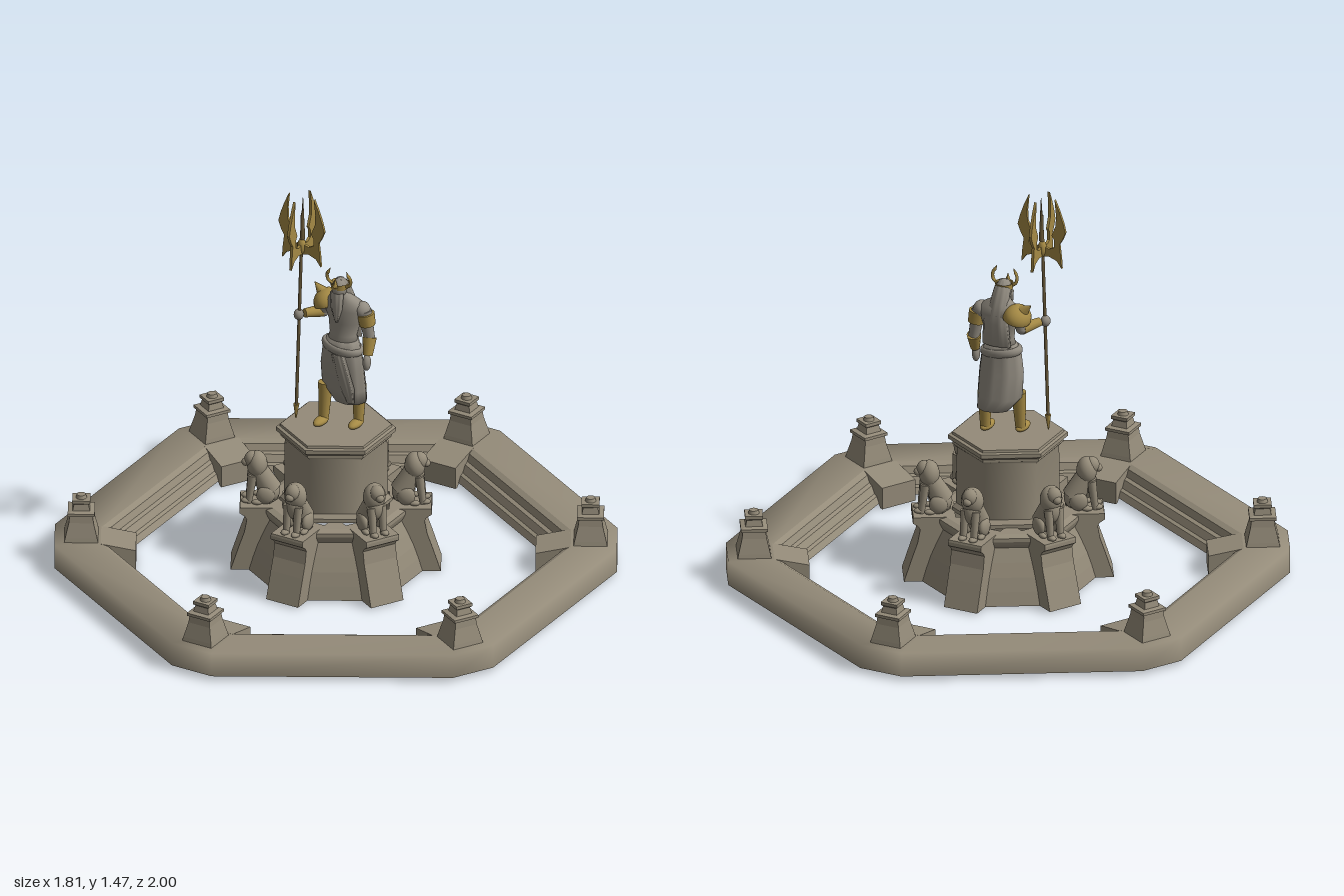
import * as THREE from 'three';

const material = (name, color) => {
  const m = new THREE.MeshStandardMaterial({ color, side: THREE.DoubleSide });
  m.name = name;
  return m;
};
const V = (p) => new THREE.Vector3(...p);

// Skin over a list of closed loops of [x, y, z]
function loft(loops, flat = false, caps = false) {
  const n = loops[0].length, index = [];
  const all = loops.slice();
  if (caps) {
    const mid = (l) => l.reduce((s, p) => s.map((v, i) => v + p[i] / n), [0, 0, 0]);
    all.unshift(Array(n).fill(mid(loops[0])));
    all.push(Array(n).fill(mid(loops[loops.length - 1])));
  }
  for (let j = 0; j + 1 < all.length; j++) for (let i = 0; i < n; i++) {
    const a = j * n + i, b = j * n + (i + 1) % n;
    index.push(a, a + n, b, b, a + n, b + n);
  }
  let g = new THREE.BufferGeometry();
  g.setAttribute('position', new THREE.Float32BufferAttribute(all.flat(2), 3));
  g.setIndex(index);
  if (flat) g = g.toNonIndexed();
  g.computeVertexNormals();
  return g;
}

// Loop repeated at the six corners; each point is [outward, sideways]
function cornerLoop(points, y) {
  const pts = [];
  for (let k = 0; k < 6; k++) {
    const a = Math.PI / 6 + k * Math.PI / 3, c = Math.cos(a), s = Math.sin(a);
    for (const [r, w] of points) pts.push([c * r - s * w, y, s * r + c * w]);
  }
  return pts;
}
// Chamfered hexagon: corner distance, half chamfer, height
const hexLoop = ([r, w, y]) => cornerLoop([[r, -w], [r, w]], y);

// Hexagonal wall with a buttress at each corner: height, wall apothem, buttress reach
function buttressLoop([y, apothem, reach]) {
  const w = 0.066, root = (apothem - w / 2) / Math.cos(Math.PI / 6);
  return cornerLoop([[root, -w], [reach, -w], [reach, w], [root, w]], y);
}

// Ellipse section with optional folds: height, centre x, centre z, radius x, radius z
const ellipseLoop = (fold) => ([y, cx, cz, rx, rz]) => Array.from({ length: 36 }, (_, i) => {
  const a = i * Math.PI / 18, f = 1 + fold * Math.cos(9 * a);
  return [cx + rx * f * Math.cos(a), y, cz + rz * f * Math.sin(a)];
});

const lathe = (profile, sides) => new THREE.LatheGeometry(profile.map((p) => new THREE.Vector2(...p)), sides);
function faceted(profile, sides) {
  const g = lathe(profile, sides).toNonIndexed();
  g.computeVertexNormals();
  return g;
}

// Side profile of [outward, y] given a width, pointing toward +z
function slab(profile, width) {
  const shape = new THREE.Shape(profile.map((p) => new THREE.Vector2(...p)));
  return new THREE.ExtrudeGeometry(shape, { depth: width, bevelEnabled: false })
    .translate(0, 0, -width / 2).rotateY(-Math.PI / 2);
}

const ball = (p, r) => new THREE.SphereGeometry(1, 18, 12).scale(...r).translate(...p);

function limb(a, b, ra, rb) {
  const d = V(b).sub(V(a)), g = new THREE.CylinderGeometry(rb, ra, d.length(), 14);
  g.applyQuaternion(new THREE.Quaternion().setFromUnitVectors(V([0, 1, 0]), d.clone().normalize()));
  const c = V(a).addScaledVector(d, 0.5);
  return g.translate(c.x, c.y, c.z);
}

export function createModel() {
  const stone = material('stone', 0x948b79);
  const grey = material('statue grey', 0x918b80);
  const gold = material('gold', 0xa58a45);
  const bronze = material('dark bronze', 0x6a5a3a);

  const root = new THREE.Group();
  root.name = 'fountain';
  const group = (name, parent = root) => {
    const g = new THREE.Group();
    g.name = name;
    parent.add(g);
    return g;
  };
  const add = (parent, name, geo, mat) => {
    const m = new THREE.Mesh(geo, mat);
    m.name = name;
    parent.add(m);
    return m;
  };

  // Basin: an open shell with a smooth outer rim and steps on the inside
  const basin = group('basin');
  add(basin, 'rim', loft([[1, 0.082, 0.02], [1, 0.082, 0.11], [0.83, 0.07, 0.11]].map(hexLoop)), stone);
  add(basin, 'innerSteps', loft([
    [0.83, 0.07, 0.11], [0.808, 0.068, 0.1], [0.797, 0.066, 0.075], [0.78, 0.066, 0.07],
    [0.765, 0.063, 0.045], [0.75, 0.063, 0.04], [0.737, 0.06, 0.018],
  ].map(hexLoop), true), stone);

  // Pedestal: hollow buttressed base and a column with a moulded cap
  const pedestal = group('pedestal');
  add(pedestal, 'buttressedBase', loft([
    [0.01, 0.3, 0.374], [0.06, 0.288, 0.358], [0.11, 0.274, 0.342], [0.16, 0.256, 0.325], [0.21, 0.236, 0.316],
    [0.222, 0.242, 0.322], [0.236, 0.247, 0.342], [0.25, 0.247, 0.342], [0.258, 0.225, 0.34], [0.258, 0.165, 0.19],
  ].map(buttressLoop), true), stone);
  add(pedestal, 'columnFoot', faceted([[0.2, 0.255], [0.2, 0.27], [0.185, 0.285]], 6), stone);
  add(pedestal, 'columnShaft', lathe([[0.185, 0.285], [0.182, 0.5], [0.198, 0.515]], 6), stone);
  add(pedestal, 'cap', faceted([
    [0.198, 0.515], [0.198, 0.525], [0.213, 0.535], [0.213, 0.55], [0.2, 0.553], [0.198, 0.562], [0, 0.562],
  ], 6), stone);

  // One set per corner: pillar, inner block and lion
  const pillarProfile = [[0.06, 0.11], [0.057, 0.125], [0.044, 0.18], [0.041, 0.205], [0.048, 0.207],
    [0.048, 0.218], [0.031, 0.222], [0.026, 0.245], [0.032, 0.25], [0.032, 0.262], [0, 0.262]];
  const pillarGeo = faceted(pillarProfile.map(([x, y]) => [x * Math.SQRT2, y]), 4)
    .rotateY(Math.PI / 4).translate(0, 0, 0.905);
  const knobGeo = new THREE.CylinderGeometry(0.016, 0.02, 0.014, 16).translate(0, 0.268, 0.905);
  const blockGeo = slab([[0.835, 0.111], [0.71, 0.085], [0.71, 0.003], [0.722, 0.003], [0.74, 0.02], [0.8, 0.085]], 0.14);
  const lionParts = [
    ['lionBody', limb([0, 0.045, -0.035], [0, 0.13, 0.012], 0.042, 0.034)],
    ['lionRump', ball([0, 0.04, -0.035], [0.04, 0.042, 0.035])],
    ['lionMane', ball([0, 0.143, 0.012], [0.042, 0.051, 0.037])],
    ['lionChest', ball([0, 0.1, 0.022], [0.032, 0.045, 0.026])],
    ['lionHead', ball([0, 0.163, 0.03], [0.028, 0.031, 0.028])],
    ['lionMuzzle', ball([0, 0.152, 0.053], [0.016, 0.015, 0.015])],
    ['lionTail', limb([0, 0.012, -0.06], [0.04, 0.01, -0.03], 0.007, 0.006)],
  ];
  for (const s of [-1, 1]) lionParts.push(
    ['lionFrontLeg', limb([s * 0.021, 0, 0.042], [s * 0.021, 0.11, 0.028], 0.012, 0.017)],
    ['lionFrontPaw', ball([s * 0.021, 0.009, 0.05], [0.014, 0.01, 0.019])],
    ['lionHaunch', ball([s * 0.033, 0.035, -0.018], [0.017, 0.035, 0.033])],
    ['lionHindPaw', ball([s * 0.036, 0.009, 0.012], [0.012, 0.01, 0.02])],
  );
  for (let k = 0; k < 6; k++) {
    const corner = group('corner');
    corner.rotation.y = k * Math.PI / 3;
    add(corner, 'pillar', pillarGeo, stone);
    add(corner, 'pillarKnob', knobGeo, stone);
    add(corner, 'innerBlock', blockGeo, stone);
    const lion = group('lion', corner);
    lion.position.set(0, 0.257, 0.268);
    for (const [name, geo] of lionParts) add(lion, name, geo, stone);
  }

  // Standing warrior
  const statue = group('statue');
  add(statue, 'torso', loft([
    [0.88, 0.02, -0.01, 0.06, 0.045], [0.93, 0.022, -0.015, 0.052, 0.038], [0.98, 0.025, -0.02, 0.062, 0.043],
    [1.03, 0.022, -0.025, 0.083, 0.047], [1.055, 0.02, -0.025, 0.075, 0.04], [1.075, 0.018, -0.02, 0.04, 0.03],
    [1.1, 0.016, -0.012, 0.022, 0.022],
  ].map(ellipseLoop(0)), false, true), grey);
  add(statue, 'skirt', loft([
    [0.66, 0.038, -0.036, 0.062, 0.052], [0.71, 0.018, -0.03, 0.084, 0.058], [0.8, 0.02, -0.014, 0.083, 0.054],
    [0.87, 0.02, -0.012, 0.074, 0.05], [0.91, 0.022, -0.012, 0.06, 0.043],
  ].map(ellipseLoop(0.03)), false, true), grey);
  const sash = add(statue, 'sash', new THREE.TorusGeometry(0.07, 0.011, 10, 32).rotateX(Math.PI / 2).scale(1, 1.4, 0.68), grey);
  sash.position.set(0.02, 0.878, -0.012);
  sash.rotation.z = -0.14;
  add(statue, 'drape', loft([
    [0.67, 0.068, 0.012, 0.015, 0.008], [0.74, 0.058, 0.028, 0.032, 0.012], [0.86, 0.03, 0.034, 0.025, 0.014],
  ].map(ellipseLoop(0.08)), false, true), grey);
  for (const [x, z] of [[-0.045, 0.01], [0.073, -0.035]]) {
    add(statue, 'greave', limb([x, 0.575, z], [x * 0.95, 0.72, z - 0.01], 0.018, 0.027), gold);
    add(statue, 'foot', ball([x, 0.577, z + 0.018], [0.021, 0.016, 0.044]), gold);
  }
  add(statue, 'head', ball([0.015, 1.112, 0], [0.027, 0.038, 0.032]), grey);
  add(statue, 'beard', loft([
    [0.985, 0.016, 0.022, 0.006, 0.006], [1.04, 0.016, 0.022, 0.022, 0.014], [1.1, 0.015, 0.018, 0.026, 0.018],
  ].map(ellipseLoop(0.06)), false, true), grey);
  add(statue, 'hair', loft([
    [0.91, 0.02, -0.05, 0.055, 0.016], [1.0, 0.02, -0.057, 0.048, 0.022], [1.07, 0.017, -0.038, 0.034, 0.026],
    [1.12, 0.015, -0.015, 0.03, 0.027], [1.148, 0.015, -0.006, 0.014, 0.014],
  ].map(ellipseLoop(0.04)), false, true), grey);
  add(statue, 'crown', new THREE.CylinderGeometry(0.033, 0.031, 0.022, 20, 1, true).translate(0.015, 1.125, 0), gold);
  add(statue, 'crownCrest', new THREE.ConeGeometry(0.012, 0.035, 4).translate(0.015, 1.145, 0.03), gold);
  for (const s of [-1, 1]) {
    const curve = new THREE.CatmullRomCurve3([[0.028, 1.125], [0.045, 1.138], [0.048, 1.16], [0.04, 1.175]]
      .map(([x, y], i) => V([0.018 + s * x, y, 0.005 + i * 0.003])));
    add(statue, 'horn', new THREE.TubeGeometry(curve, 12, 0.006, 8), gold);
    add(statue, 'hornTip', limb([0.018 + s * 0.041, 1.173, 0.014], [0.018 + s * 0.033, 1.19, 0.014], 0.006, 0.0005), gold);
  }

  // Left arm hangs at the side
  const leftArm = group('leftArm', statue);
  add(leftArm, 'shoulder', ball([0.09, 1.03, -0.03], [0.03, 0.032, 0.032]), grey);
  add(leftArm, 'upperArm', limb([0.1, 1.03, -0.03], [0.118, 0.92, -0.035], 0.026, 0.02), grey);
  add(leftArm, 'armGuard', limb([0.104, 1.02, -0.03], [0.111, 0.975, -0.033], 0.033, 0.029), gold);
  add(leftArm, 'bracer', limb([0.118, 0.925, -0.035], [0.125, 0.865, -0.012], 0.026, 0.017), gold);
  add(leftArm, 'hand', ball([0.125, 0.84, -0.004], [0.014, 0.032, 0.018]), grey);

  // Right arm bends forward to grip the shaft
  const rightArm = group('rightArm', statue);
  add(rightArm, 'upperArm', limb([-0.055, 1.03, -0.03], [-0.072, 0.985, -0.03], 0.028, 0.022), grey);
  add(rightArm, 'elbow', ball([-0.07, 0.985, -0.03], [0.022, 0.022, 0.022]), grey);
  add(rightArm, 'bracer', limb([-0.072, 0.985, -0.03], [-0.11, 0.993, 0.035], 0.023, 0.016), gold);
  add(rightArm, 'hand', ball([-0.123, 0.992, 0.052], [0.018, 0.021, 0.019]), grey);
  const pauldron = add(rightArm, 'pauldron', new THREE.SphereGeometry(1, 20, 8, 0, Math.PI * 2, 0, Math.PI * 0.55).scale(0.05, 0.048, 0.058), gold);
  pauldron.position.set(-0.054, 1.026, -0.035);
  pauldron.rotation.z = 0.3;
  add(rightArm, 'pauldronSpike', limb([-0.06, 1.04, -0.035], [-0.112, 1.085, -0.04], 0.034, 0.001), gold);

  // Trident with four curved blades around a spike
  const trident = group('trident', statue);
  add(trident, 'shaft', limb([-0.135, 0.6, 0.05], [-0.106, 1.4, 0.055], 0.006, 0.006), bronze);
  add(trident, 'buttSpike', limb([-0.136, 0.572, 0.05], [-0.134, 0.63, 0.05], 0.002, 0.011), gold);
  add(trident, 'spike', limb([-0.106, 1.3, 0.055], [-0.104, 1.465, 0.055], 0.01, 0.001), bronze);
  add(trident, 'hub', ball([-0.109, 1.27, 0.055], [0.016, 0.032, 0.016]), gold);
  const blade = slab([[0, 1.24], [0.03, 1.246], [0.06, 1.235], [0.08, 1.208], [0.077, 1.25], [0.071, 1.3], [0.083, 1.32],
    [0.095, 1.35], [0.086, 1.385], [0.07, 1.43], [0.052, 1.47], [0.058, 1.41], [0.056, 1.37], [0.04, 1.33],
    [0.05, 1.315], [0.05, 1.285], [0.03, 1.275], [0, 1.285]], 0.01);
  for (let k = 0; k < 4; k++) {
    const b = add(trident, 'blade', blade, gold);
    b.position.set(-0.108, 0, 0.055);
    b.rotation.y = k * Math.PI / 2;
  }
  return root;
}
